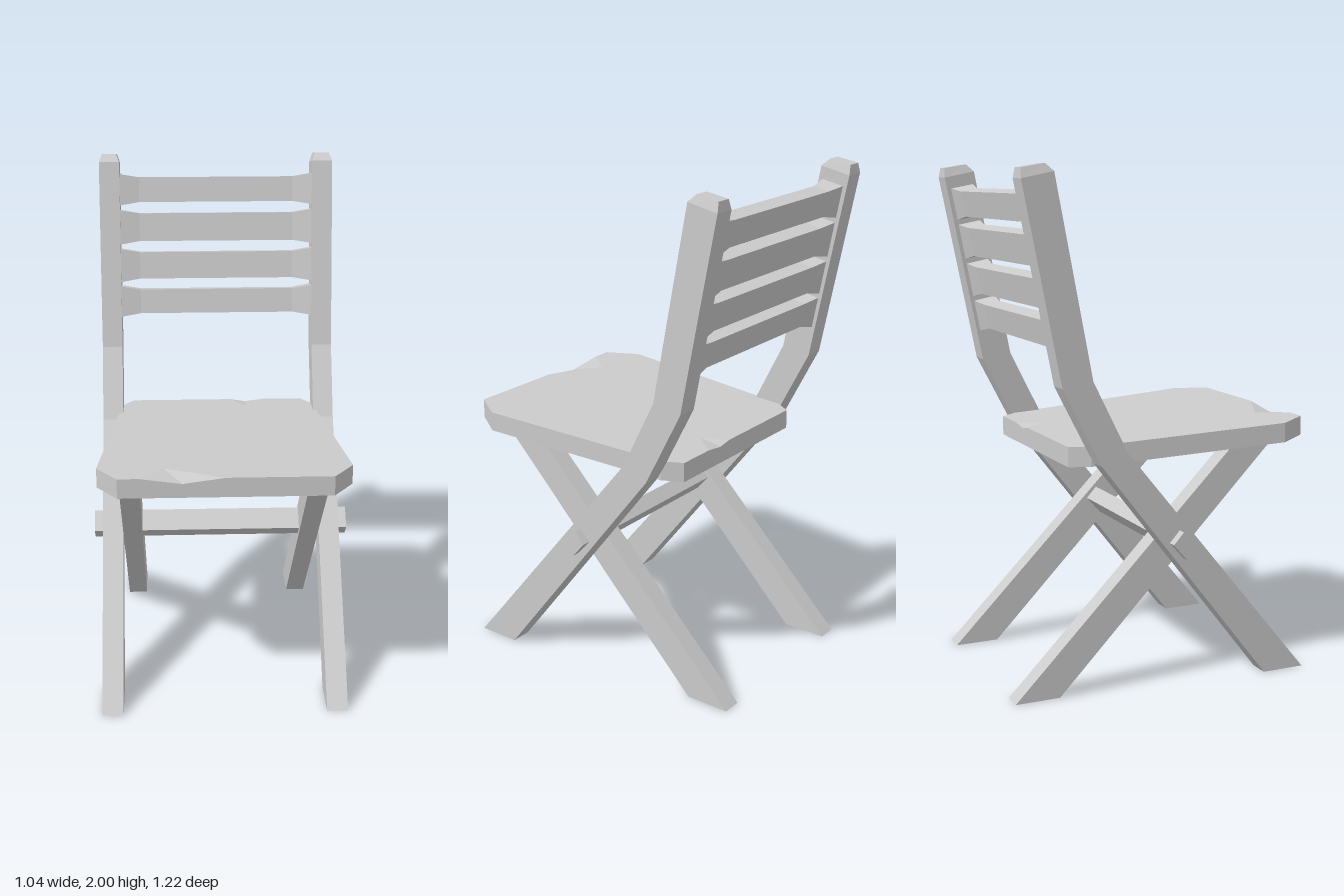
import * as THREE from 'three';

const material = new THREE.MeshStandardMaterial({ color: 0xcccccc, flatShading: true });

function meshFrom(points, name) {
  const geometry = new THREE.BufferGeometry().setFromPoints(points);
  geometry.computeVertexNormals();
  const mesh = new THREE.Mesh(geometry, material);
  mesh.name = name;
  return mesh;
}

// Triangles joining loops of corners (counterclockwise seen from the far end)
function loft(rings, capEnd = true) {
  const tris = [];
  const n = rings[0].length;
  for (let i = 0; i < rings.length - 1; i++) {
    for (let j = 0; j < n; j++) {
      const k = (j + 1) % n;
      const a = rings[i][j], b = rings[i][k], c = rings[i + 1][k], d = rings[i + 1][j];
      tris.push(a, b, c, a, c, d);
    }
  }
  const first = rings[0], last = rings[rings.length - 1];
  for (let j = 1; j < n - 1; j++) {
    tris.push(first[0], first[j + 1], first[j]);
    if (capEnd) tris.push(last[0], last[j], last[j + 1]);
  }
  return tris;
}

const v = (x, y, z) => new THREE.Vector3(x, y, z);

// Upright beam: each station is [front z, front y, back z, back y, side inset]
function beam(stations, x0, x1, name) {
  const rings = stations.map(([zf, yf, zb, yb, inset = 0]) => [
    v(x0 + inset, yb, zb), v(x0 + inset, yf, zf),
    v(x1 - inset, yf, zf), v(x1 - inset, yb, zb),
  ]);
  return meshFrom(loft(rings), name);
}

// Back slat, taller and thicker where it meets the posts
function slat(y, height) {
  const z = -0.51 - 0.195 * (y - 1.85);
  const tilt = v(1, 0, 0);
  const rings = [-0.405, -0.32, 0.32, 0.405].map((x) => {
    const end = Math.abs(x) > 0.35;
    const h = (height + (end ? 0.028 : 0)) / 2;
    const d = (end ? 0.095 : 0.068) / 2;
    return [[-h, -d], [h, -d], [h, d], [-h, d]].map(([a, b]) =>
      v(0, a, b).applyAxisAngle(tilt, -0.19).add(v(x, y, z)));
  });
  return meshFrom(loft(rings), 'backSlat');
}

// Sloping seat slab with two shallow worn dents in its front and back edges
function seat() {
  const topY = (z) => 0.98 + 0.0538 * z;
  const outline = [
    [-0.48, 0.49], [-0.4, 0.61], [-0.32, 0.61], [-0.16, 0.61], [0, 0.61], [0.4, 0.61], [0.48, 0.49],
    [0.405, -0.3], [0.36, -0.375], [0.2, -0.375], [0.12, -0.375], [0.06, -0.375], [-0.36, -0.375], [-0.405, -0.3],
  ];
  // Dent: index of the lowered rim point, depth, and the inner apex
  const dents = [
    { i: 3, depth: 0.022, apex: [-0.23, 0.5] },
    { i: 10, depth: 0.01, apex: [0.12, -0.28] },
  ];
  const bottom = outline.map(([x, z]) => v(x, topY(z) - 0.077, z));
  const top = outline.map(([x, z]) => v(x, topY(z), z));
  const inner = top.slice();
  const fill = [];
  for (const { i, depth, apex: [x, z] } of dents) {
    top[i].y -= depth;
    inner[i] = v(x, topY(z), z);
    fill.push(top[i - 1], top[i], inner[i], top[i], top[i + 1], inner[i]);
  }
  const contour = inner.map((p) => new THREE.Vector2(p.x, -p.z));
  const flat = THREE.ShapeUtils.triangulateShape(contour, []).flat().map((i) => inner[i]);
  return meshFrom([...loft([bottom, top], false), ...flat, ...fill], 'seat');
}

export function createModel() {
  const chair = new THREE.Group();
  chair.name = 'foldingChair';

  // Front legs bending up into the back posts, with chamfered tops
  const post = [
    [0.589, 0, 0.414, 0],
    [-0.186, 0.945, -0.29, 0.9],
    [-0.324, 1.22, -0.445, 1.2],
    [-0.47, 1.972, -0.594, 1.947],
    [-0.5, 2, -0.59, 1.985, 0.012],
  ];
  // Straight rear legs crossing forward to the underside of the seat
  const rearLeg = [
    [-0.43, 0, -0.61, 0],
    [0.48, 0.93, 0.3, 0.915],
  ];
  for (const side of [-1, 1]) {
    const span = (a, b) => (side > 0 ? [a, b] : [-b, -a]);
    chair.add(beam(post, ...span(0.4, 0.483), side > 0 ? 'leftPost' : 'rightPost'));
    chair.add(beam(rearLeg, ...span(0.322, 0.4), side > 0 ? 'leftRearLeg' : 'rightRearLeg'));
  }

  // Pivot bar through the crossing of the legs
  const section = [[0.515, 0.047], [0.58, -0.01], [0.626, 0.032], [0.562, 0.095]];
  const bar = [-0.518, 0.518].map((x) => section.map(([y, z]) => v(x, y, z)));
  chair.add(meshFrom(loft(bar), 'pivotBar'));

  // Back slats
  for (const [y, h] of [[1.849, 0.102], [1.697, 0.115], [1.541, 0.11], [1.393, 0.1]]) chair.add(slat(y, h));

  chair.add(seat());
  return chair;
}
